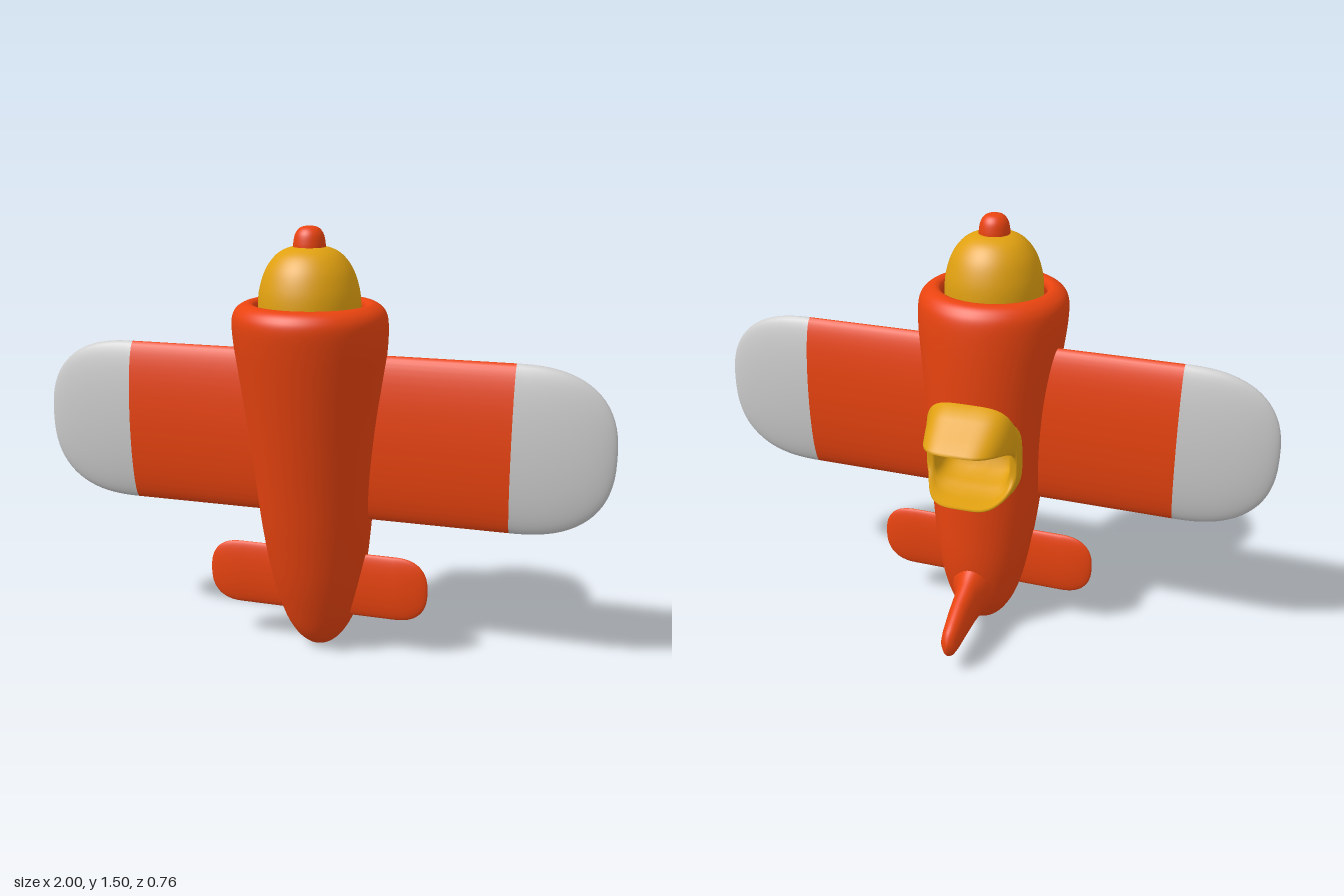
import * as THREE from 'three';

const red = new THREE.MeshStandardMaterial({ color: 0xe8430f });
const yellow = new THREE.MeshStandardMaterial({ color: 0xe0a010 });
const grey = new THREE.MeshStandardMaterial({ color: 0xcccccc });
const V = (x, y, z) => new THREE.Vector3(x, y, z);

// Skin over a list of equally long closed rings
function loft(rings) {
  const n = rings[0].length, index = [];
  for (let i = 0; i < rings.length - 1; i++) {
    for (let j = 0; j < n; j++) {
      const a = i * n + j, b = i * n + (j + 1) % n;
      index.push(a, a + n, b, b, a + n, b + n);
    }
  }
  const geo = new THREE.BufferGeometry().setFromPoints(rings.flat());
  geo.setIndex(index);
  geo.computeVertexNormals();
  return geo;
}

const ring = (n, fn) => Array.from({ length: n }, (_, j) => {
  const a = j / n * Math.PI * 2;
  return fn(Math.cos(a), Math.sin(a));
});

// Fuselage: ellipses [y, z front, z back, half width], with a sunken nose rim
const BODY = [
  [0, .01, .01, 0], [.015, .055, -.035, .045], [.06, .1, -.078, .09],
  [.14, .14, -.11, .13], [.28, .19, -.135, .165], [.46, .235, -.14, .19],
  [.66, .277, -.14, .207], [.86, .318, -.142, .225], [1.02, .35, -.143, .243],
  [1.13, .37, -.14, .255], [1.2, .378, -.133, .256], [1.235, .368, -.118, .245],
  [1.255, .345, -.095, .22], [1.258, .315, -.065, .195], [1.24, .3, -.05, .18],
  [1.18, .298, -.048, .177], [1.18, .125, .125, 0],
];

function bodyGeometry() {
  const curve = f => new THREE.CatmullRomCurve3(BODY.map(f), false, 'catmullrom');
  const place = curve(([y, f, b]) => V((f - b) / 2, y, (f + b) / 2));
  const width = curve(([, , , w]) => V(w, 0, 0));
  const steps = (BODY.length - 1) * 16, rings = [];
  for (let i = 0; i <= steps; i++) {
    const p = place.getPoint(i / steps), w = Math.max(0, width.getPoint(i / steps).x);
    rings.push(ring(112, (c, s) => {
      const v = V(w * c, Math.max(0, p.y), p.z + Math.max(0, p.x) * s);
      // Hollow that takes the cockpit
      const inside = (v.x / .148) ** 4 + ((v.y - .73) / .135) ** 4 < 1;
      if (inside && v.z < .03) v.z = .03;
      return v;
    }));
  }
  return loft(rings);
}

// Elliptical aerofoil between the given x stations, rounded off towards the tip
function foil(xs, { straight, tip, y, chord, z, thick }) {
  return loft(xs.map(x => {
    const t = Math.min(1, Math.max(0, (Math.abs(x) - straight) / (tip - straight)));
    const h = chord * (1 - t ** 2.5) ** .4, d = thick * Math.sqrt(1 - t * t);
    return ring(48, (c, s) => V(x, y + h * s, z + d * c));
  }));
}

// Stations that crowd together towards the tip
const tipStations = ({ straight, tip }) => Array.from({ length: 21 },
  (_, i) => straight + (tip - straight) * Math.sin(i / 20 * Math.PI / 2));
const mirrored = xs => xs.map(x => -x).reverse();

const WING = { straight: .67, tip: 1, y: .797, chord: .287, z: .063, thick: .055 };
const TAIL = { straight: .28, tip: .4, y: .257, chord: .117, z: .05, thick: .021 };

// Fin sections: [z, half thickness, top, bottom]
const FIN = [
  [-.04, .085, .3, .06], [-.11, .075, .29, .07], [-.14, .055, .27, .068],
  [-.18, .046, .245, .066], [-.26, .04, .215, .065], [-.33, .034, .178, .063],
  [-.36, .028, .163, .064], [-.375, .018, .145, .074], [-.38, 0, .115, .11],
];

function finGeometry() {
  return loft(FIN.map(([z, w, top, bottom]) =>
    ring(40, (c, s) => V(w * c, (top + bottom) / 2 + (top - bottom) / 2 * s, z))));
}

// Cockpit rows, outside to lip to inside: [lip reach, wall height, inset, top, bottom]
const COCKPIT = [
  [0, -.15, 0, .88, .575], [0, .75, 0, .88, .575], [.05, .95, 0, .91, .575],
  [.15, 1, .003, .93, .575], [.4, 1, .005, .893, .575], [.75, 1, .006, .848, .577],
  [.96, 1, .008, .819, .58], [1, 1, .011, .812, .584], [.96, 1, .014, .808, .59],
  [.5, 1, .022, .828, .591], [.2, 1, .026, .831, .598], [.05, .96, .03, .82, .61],
  [0, .75, .034, .805, .62], [0, .2, .038, .79, .635], [0, 0, .06, .77, .66],
  [0, 0, .165, .72, .72],
];

function cockpitGeometry() {
  const square = v => Math.sign(v) * Math.sqrt(Math.abs(v));
  return loft(COCKPIT.map(([reach, wall, inset, top, bottom]) => ring(96, (c, s) => {
    // The screen overhangs at the top, the headrest at the bottom
    const lip = s > 0 ? .19 * s ** 1.5 : .125 * s * s;
    const half = s > 0 ? top - .72 : .72 - bottom;
    return V((.165 - inset) * square(c), .72 + half * square(s), -.115 * wall - lip * reach);
  })));
}

const lathe = pts => new THREE.LatheGeometry(
  new THREE.SplineCurve(pts.map(p => new THREE.Vector2(...p))).getPoints(40), 64);

export function createModel() {
  const model = new THREE.Group();
  const add = (name, geometry, material) => {
    const mesh = new THREE.Mesh(geometry, material);
    mesh.name = name;
    model.add(mesh);
    return mesh;
  };

  add('fuselage', bodyGeometry(), red);

  // Nose cone and its knob
  add('noseCone', lathe([[.168, 1.18], [.168, 1.26], [.16, 1.315], [.14, 1.37],
    [.108, 1.412], [.07, 1.434], [.03, 1.44], [0, 1.44]]), yellow).position.z = .127;
  add('noseKnob', lathe([[.053, 1.42], [.052, 1.45], [.045, 1.48],
    [.028, 1.499], [0, 1.505]]), red).position.z = .127;

  // Wings with grey tips
  const tips = tipStations(WING);
  add('wing', foil([-.67, 0, .67], WING), red);
  add('leftWingTip', foil(tips, WING), grey);
  add('rightWingTip', foil(mirrored(tips), WING), grey);

  // Tail
  const tail = tipStations(TAIL);
  add('tailplane', foil([...mirrored(tail), ...tail], TAIL), red);
  add('tailFin', finGeometry(), red);

  const cockpit = add('cockpit', cockpitGeometry(), yellow.clone());
  cockpit.material.side = THREE.DoubleSide;
  return model;
}
